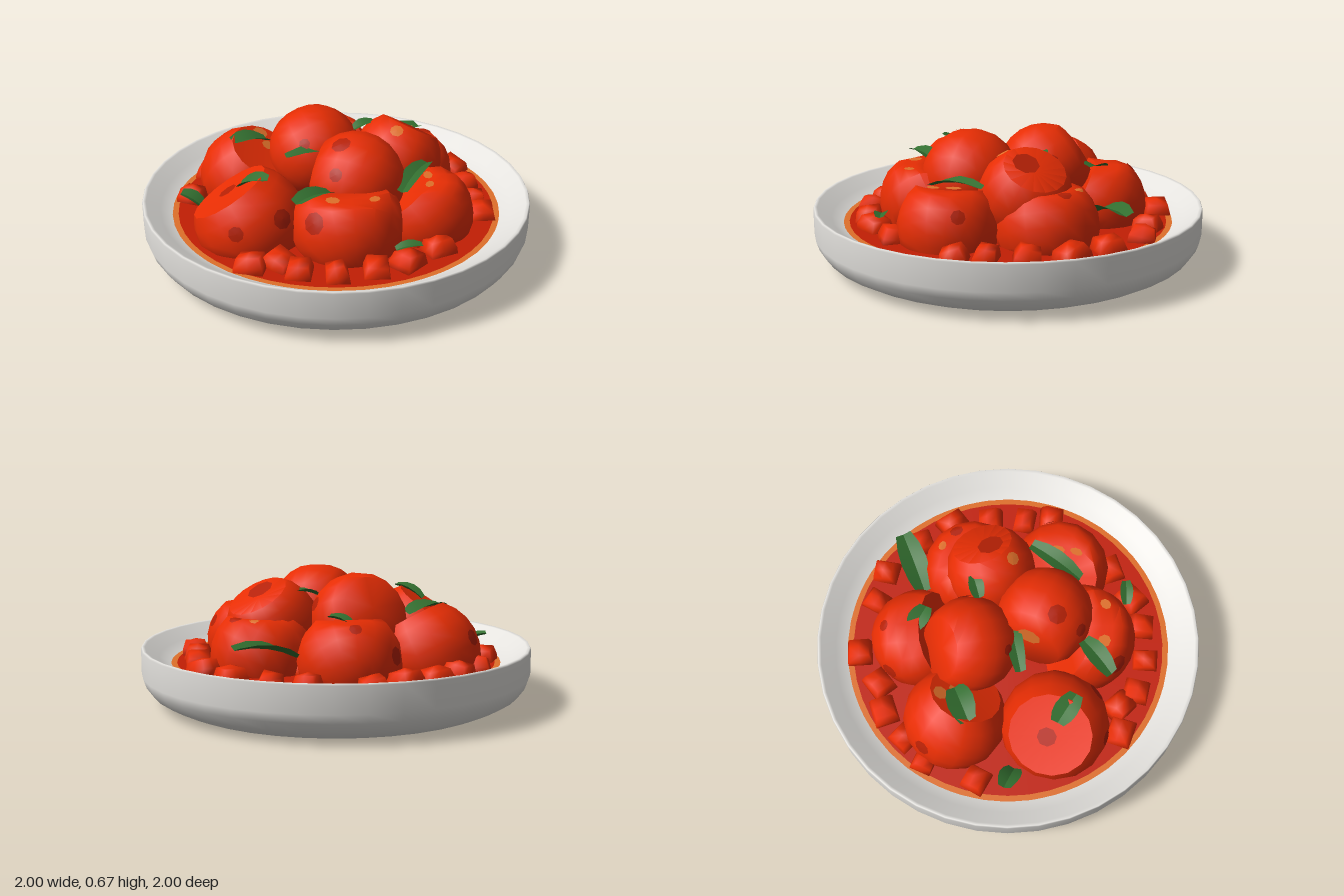
import * as THREE from 'three';
import { toCreasedNormals, mergeVertices } from 'three/addons/utils/BufferGeometryUtils.js';

const mat = (name, color, side = THREE.FrontSide) => {
  const m = new THREE.MeshStandardMaterial({ color, side });
  m.name = name;
  return m;
};
const UP = new THREE.Vector3(0, 1, 0);
const turn = dir => new THREE.Quaternion().setFromUnitVectors(UP, dir);

export function createModel() {
  const group = new THREE.Group();
  group.name = 'tomatoDish';
  const ceramic = mat('ceramic', 0xe4e2de);
  const sauceRed = mat('sauceRed', 0xc21e04);
  const tomatoRed = mat('tomatoRed', 0xee2f04);
  const charRed = mat('charRed', 0xb42005);
  const oil = mat('oilOrange', 0xe0702a);
  const green = mat('leafGreen', 0x336f30, THREE.DoubleSide);

  const add = (name, geo, material, parent = group) => {
    const m = new THREE.Mesh(geo, material);
    m.name = name;
    parent.add(m);
    return m;
  };
  const lathe = (pts, seg) => new THREE.LatheGeometry(pts.map(p => new THREE.Vector2(...p)), seg);

  // Shallow bowl
  add('bowl', lathe([[0, 0.003], [0.6, 0.003], [0.84, 0.006], [0.895, 0.03], [0.95, 0.062], [0.985, 0.11],
    [1, 0.155], [1, 0.285], [0.995, 0.294], [0.98, 0.29], [0.91, 0.24], [0.84, 0.2], [0.7, 0.16], [0, 0.15]], 40), ceramic);

  // Sauce with a rim of oil
  add('sauce', new THREE.CircleGeometry(0.825, 48).rotateX(-Math.PI / 2).translate(0, 0.205, 0), sauceRed);
  add('oilRim', new THREE.RingGeometry(0.82, 0.85, 48).rotateX(-Math.PI / 2).translate(0, 0.206, 0), oil);

  // Tomato: a ball sliced at distance d from its centre, the slice facing n,
  // flattened at height top and where it sits below the sauce.
  // Each spot is [x, y, z direction, angular size, material].
  const tomato = ([x, y, z], r, n, d, top, spots) => {
    const g = new THREE.Group();
    g.name = 'tomatoHalf';
    group.add(g);
    const normal = new THREE.Vector3(...n).normalize();
    const settle = (geo, limit) => {
      geo.translate(x, y, z);
      const p = geo.attributes.position;
      for (let i = 0; i < p.count; i++) p.setY(i, THREE.MathUtils.clamp(p.getY(i), 0.17, limit));
      return geo;
    };
    const profile = [], steps = 9, edge = Math.asin(d / r);
    for (let i = 0; i <= steps; i++) {
      const a = -Math.PI / 2 + (edge + Math.PI / 2) * i / steps;
      profile.push([r * Math.cos(a), r * Math.sin(a)]);
    }
    profile[0][0] = 0;
    profile.push([0, d - 0.012]);
    const flesh = settle(lathe(profile, 16).applyQuaternion(turn(normal)), top);
    add('tomatoFlesh', toCreasedNormals(flesh, 0.95), tomatoRed, g);

    const v = new THREE.Vector3();
    for (const [sx, sy, sz, size, m] of spots) {
      const geo = new THREE.SphereGeometry(r * 1.004, 8, 2, 0, Math.PI * 2, 0, size);
      geo.applyQuaternion(turn(new THREE.Vector3(sx, sy, sz).normalize()));
      const p = geo.attributes.position;
      for (let i = 0; i < p.count; i++) {
        v.fromBufferAttribute(p, i);
        v.addScaledVector(normal, -Math.max(0, v.dot(normal) - d - 0.004));
        p.setXYZ(i, v.x, v.y, v.z);
      }
      settle(geo, top + 0.004).computeVertexNormals();
      add('skinSpot', geo, m, g);
    }
  };
  // Outer ring of tomatoes
  tomato([0, 0.28, -0.46], 0.255, [0, 0.45, 0.88], 0.12, 0.48,
    [[0, 0.65, -0.6, 0.12, charRed], [-0.8, 0.2, -0.6, 0.18, charRed], [0.1, 0.4, 0.9, 0.15, oil]]);
  tomato([-0.43, 0.27, -0.27], 0.265, [0.4, 0.82, 0.3], 0.19, 0.54,
    [[0.3, 0.9, -0.2, 0.16, oil], [0.45, 0.8, 0.1, 0.13, oil], [-0.7, 0.4, -0.6, 0.16, charRed]]);
  tomato([-0.465, 0.27, 0.24], 0.28, [-0.5, 0.8, -0.15], 0.185, 0.54,
    [[-0.5, 0.75, -0.2, 0.18, charRed], [0.5, 0.4, 0.75, 0.18, charRed], [-0.3, 0.25, 0.9, 0.14, charRed]]);
  tomato([0, 0.29, 0.385], 0.28, [0, 0.5, -0.86], 0.11, 0.48,
    [[-0.65, 0.4, 0.6, 0.2, charRed], [-0.3, 0.85, 0.35, 0.13, oil], [0.4, 0.8, 0.4, 0.11, oil]]);
  tomato([0.4, 0.27, 0.28], 0.257, [-0.65, 0.75, -0.15], 0.15, 0.465,
    [[0.0, 0.85, -0.1, 0.16, oil], [0, 0.85, 0.25, 0.14, oil], [0.8, 0.4, -0.2, 0.14, charRed]]);
  tomato([0.395, 0.27, -0.19], 0.262, [-0.4, 0.9, 0.1], 0.22, 0.465,
    [[0.5, 0.75, -0.3, 0.14, charRed], [0.2, 0.8, -0.6, 0.1, oil]]);
  // Upper tomatoes
  tomato([-0.085, 0.43, -0.19], 0.245, [-0.3, 0.5, -0.8], 0.185, 0.67,
    [[0.7, 0.3, -0.1, 0.16, charRed], [-0.3, 0.5, 0.75, 0.12, charRed]]);
  tomato([0.07, 0.43, 0.19], 0.25, [-0.85, 0.15, -0.4], 0.19, 0.675,
    [[-0.3, 0.85, 0.2, 0.2, charRed], [-0.5, 0.5, 0.7, 0.14, charRed], [-0.75, 0.5, -0.4, 0.25, oil]]);
  tomato([0.335, 0.41, -0.09], 0.235, [0.45, 0.85, -0.25], 0.175, 0.64,
    [[0.35, 0.9, -0.05, 0.3, charRed], [-0.1, 0.8, 0.45, 0.15, oil]]);

  // Diced tomato floating around the edge: [x, z]
  const dice = [[-0.06, -0.78], [0.23, -0.7], [0.4, -0.66], [0.57, -0.48], [0.69, -0.3], [0.71, -0.1],
    [0.71, 0.09], [0.72, 0.24], [0.42, 0.55], [0.25, 0.66], [0.09, 0.71], [-0.1, 0.72], [-0.27, 0.67],
    [-0.35, 0.58], [-0.49, 0.58], [-0.74, -0.16], [-0.64, -0.42], [-0.52, -0.53], [-0.38, -0.64],
    [-0.23, -0.67], [0.2, -0.36]];
  const block = new THREE.BoxGeometry(0.128, 0.1, 0.128, 2, 2, 2);
  block.deleteAttribute('uv');
  block.deleteAttribute('normal');
  const cubeGeo = mergeVertices(block);
  const cp = cubeGeo.attributes.position;
  for (let i = 0; i < cp.count; i++) {
    const s = cp.getY(i) > 0.01 ? 0.78 : 1;
    const bulge = cp.getX(i) === 0 && cp.getZ(i) === 0 ? 1.3 : 1;
    cp.setXYZ(i, cp.getX(i) * s, cp.getY(i) * bulge, cp.getZ(i) * s);
  }
  cubeGeo.computeVertexNormals();
  dice.forEach(([x, z], i) => {
    const cube = add('dicedTomato', cubeGeo, tomatoRed);
    cube.position.set(x, 0.22, z);
    cube.rotation.set(0.2 * Math.sin(i * 2.1), Math.atan2(x, z) + 0.35 * Math.sin(i * 3.7), 0.2 * Math.cos(i * 1.7));
    cube.scale.set(1 + 0.15 * Math.sin(i * 5), 1, 1);
  });

  // Folded, arched leaves: [x, y, z, length, width, heading, tilt]
  const leaves = [[0.4, 0.36, -0.5, 0.33, 0.14, 0.45, 0.2], [0.04, 0.48, -0.45, 0.13, 0.11, -0.4, 0.3],
    [-0.42, 0.5, -0.23, 0.2, 0.14, 0.5, -0.15], [-0.1, 0.53, 0.03, 0.33, 0.09, 0.25, -0.1],
    [0.17, 0.58, -0.16, 0.12, 0.08, 0.4, 0.2], [-0.45, 0.515, 0.29, 0.17, 0.12, -0.5, 0.4],
    [-0.17, 0.5, 0.45, 0.23, 0.11, 0.7, -0.1], [0.36, 0.48, 0.25, 0.31, 0.1, 1.0, 0.1],
    [0.26, 0.29, 0.63, 0.13, 0.07, 0.1, 0.1], [-0.74, 0.29, 0.01, 0.14, 0.11, -0.3, -0.5]];
  for (const [x, y, z, len, w, heading, tilt] of leaves) {
    const geo = new THREE.PlaneGeometry(len, w, 4, 2).rotateX(-Math.PI / 2);
    const p = geo.attributes.position;
    for (let i = 0; i < p.count; i++) {
      const t = p.getX(i) / len * 2;
      const side = p.getZ(i) * (1 - 0.4 * t * t);
      p.setXYZ(i, p.getX(i), Math.abs(side) * 0.4 - 0.08 * len * t * t, side + 0.08 * w * t);
    }
    const leaf = add('leaf', toCreasedNormals(geo, 0.4), green);
    leaf.position.set(x, y, z);
    leaf.rotation.set(0, heading, tilt, 'YXZ');
  }
  return group;
}
